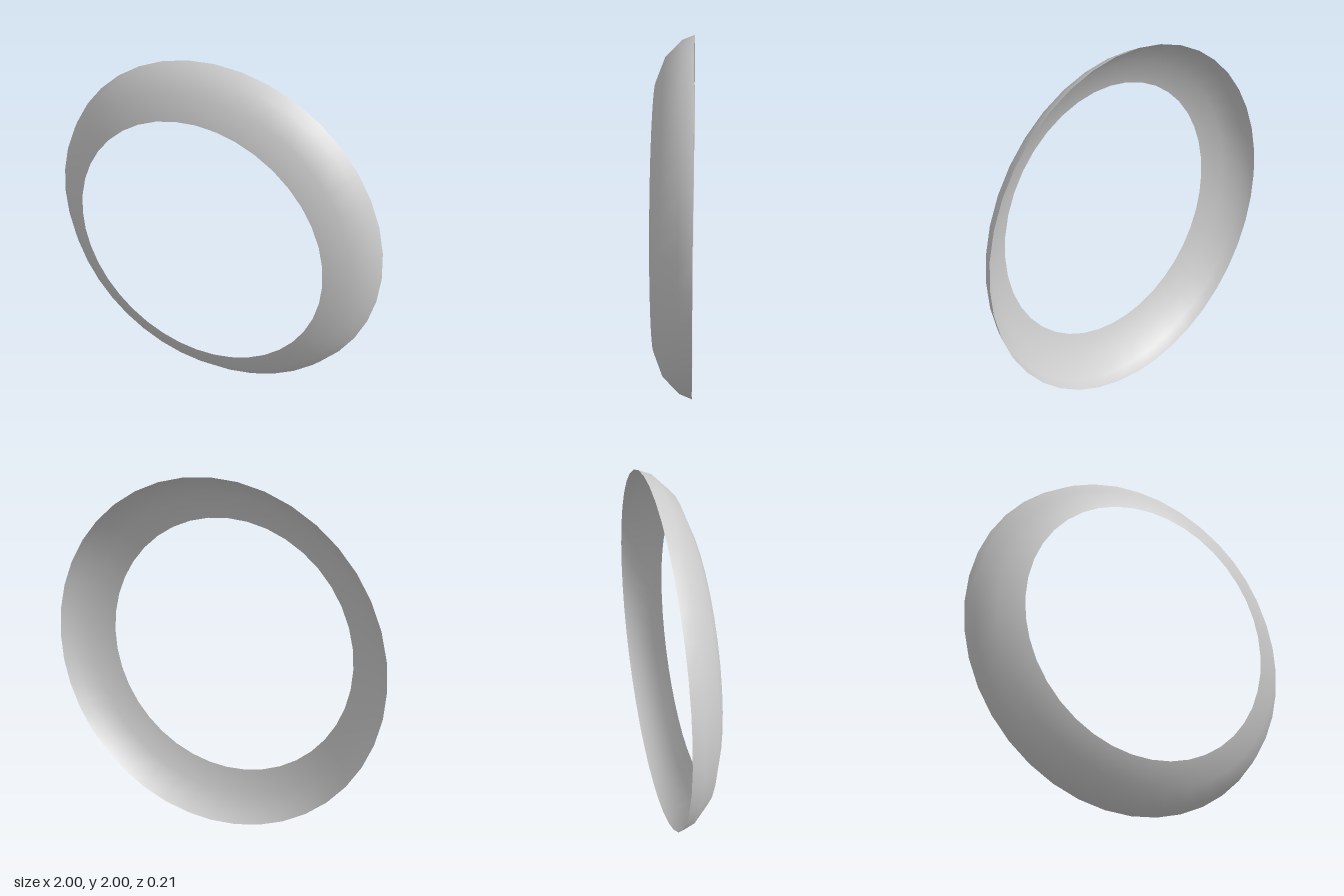
import * as THREE from 'three';

export function createModel() {
  const group = new THREE.Group();
  const material = new THREE.MeshStandardMaterial({ color: 0xcccccc, side: THREE.DoubleSide });

  // Thin curved rim, open at the back: radius and depth from back edge to front edge
  const profile = [
    [1, -0.105],
    [0.973, -0.037],
    [0.883, 0.053],
    [0.75, 0.105],
  ].map(([r, z]) => new THREE.Vector2(r, z));

  const geometry = new THREE.LatheGeometry(profile, 40);
  geometry.rotateX(Math.PI / 2); // axis of revolution faces the front

  const ring = new THREE.Mesh(geometry, material);
  ring.name = 'ringShell';
  ring.position.y = 1;
  group.add(ring);
  return group;
}
